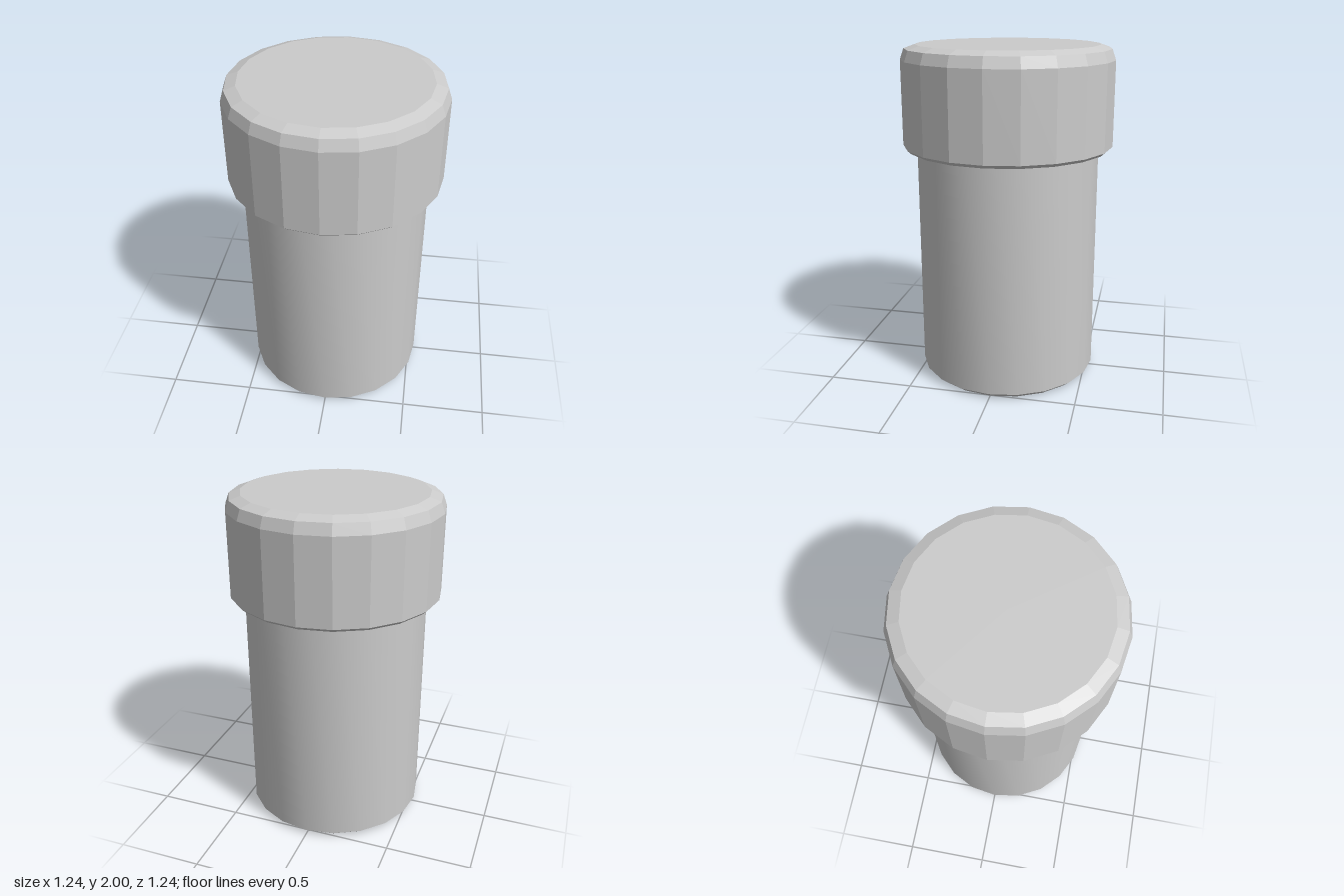
import * as THREE from 'three';
import { toCreasedNormals } from 'three/addons/utils/BufferGeometryUtils.js';

const SIDES = 20;

// Revolve a [radius, height] profile, listed from the bottom up on the outside
function turn(name, profile, flatShading) {
  const points = profile.map(([r, y]) => new THREE.Vector2(r, y));
  let geometry = new THREE.LatheGeometry(points, SIDES);
  if (!flatShading) geometry = toCreasedNormals(geometry, 0.5);
  const material = new THREE.MeshStandardMaterial({ color: 0xcccccc, flatShading });
  const mesh = new THREE.Mesh(geometry, material);
  mesh.name = name;
  return mesh;
}

export function createModel() {
  const model = new THREE.Group();
  model.name = 'liddedJar';

  // Smooth round body with a chamfered foot, its neck running up inside the lid
  model.add(turn('body', [
    [0, 0], [0.505, 0], [0.54, 0.03], [0.54, 1.9], [0, 1.9],
  ], false));

  // Faceted hollow cap: cavity, bottom rim, outer wall, rounded shoulder, flat top
  model.add(turn('lid', [
    [0, 1.92], [0.565, 1.92], [0.565, 1.4], [0.6, 1.4], [0.622, 1.42],
    [0.622, 1.915], [0.6, 1.977], [0.535, 2], [0, 2],
  ], true));

  return model;
}
